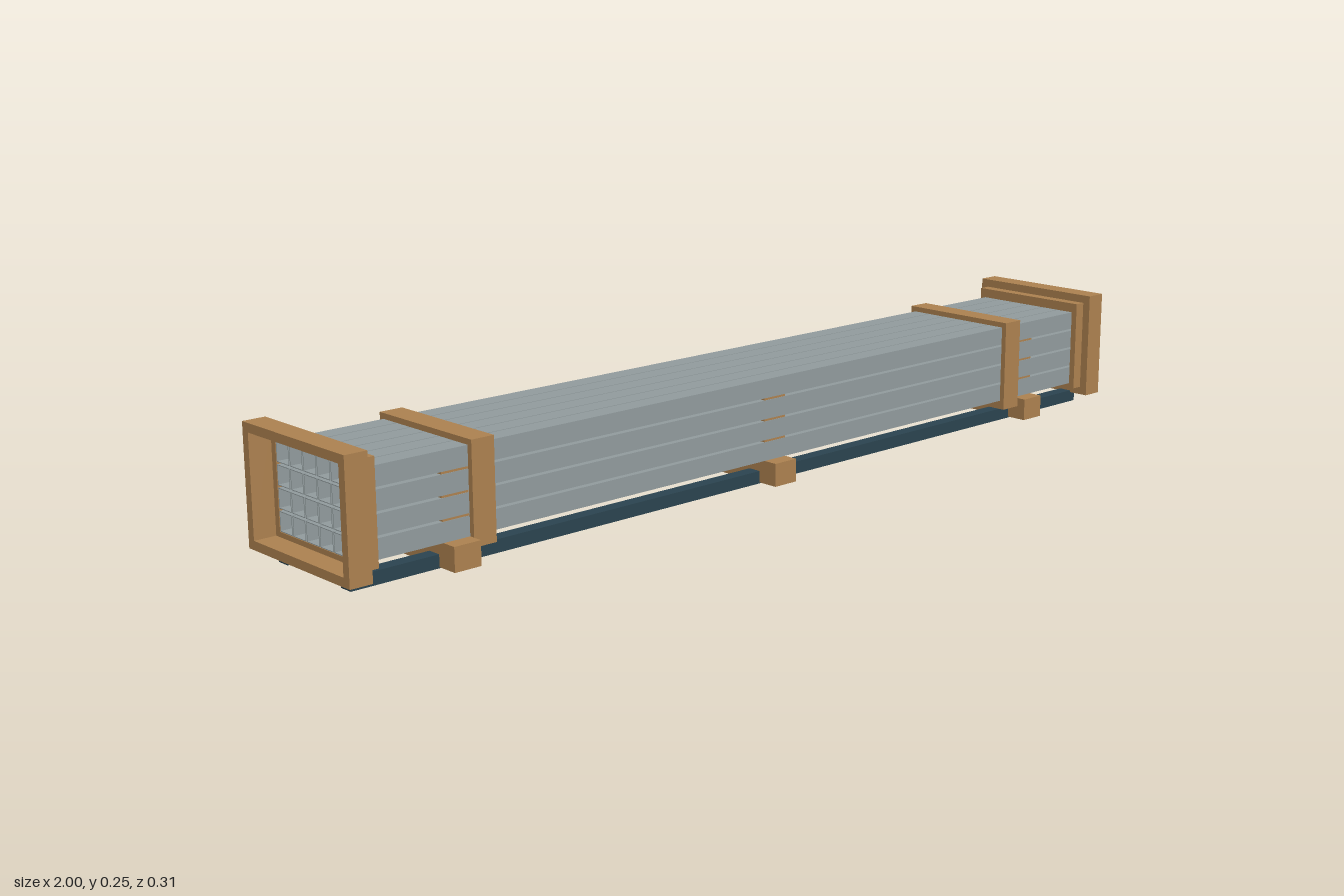
import * as THREE from 'three';

const steel = new THREE.MeshStandardMaterial({ color: 0x929c9e });
steel.name = 'galvanised steel';
const wood = new THREE.MeshStandardMaterial({ color: 0xad8250 });
wood.name = 'timber';
const dark = new THREE.MeshStandardMaterial({ color: 0x2b4450 });
dark.name = 'dark skid paint';

// Rectangular ring in the z/y plane, running from x0 to x1
function ring(name, material, outer, inner, x0, x1) {
  const corners = ([z, y0, y1]) => [[-z, y0], [z, y0], [z, y1], [-z, y1]].map(p => new THREE.Vector2(...p));
  const shape = new THREE.Shape(corners(outer));
  shape.holes.push(new THREE.Path(corners(inner).reverse()));
  const geometry = new THREE.ExtrudeGeometry(shape, { depth: x1 - x0, bevelEnabled: false });
  geometry.rotateY(Math.PI / 2).translate(x0, 0, 0);
  const mesh = new THREE.Mesh(geometry, material);
  mesh.name = name;
  return mesh;
}

function box(name, material, w, h, d, x, y, z) {
  const mesh = new THREE.Mesh(new THREE.BoxGeometry(w, h, d), material);
  mesh.position.set(x, y, z);
  mesh.name = name;
  return mesh;
}

export function createModel() {
  const group = new THREE.Group();
  group.name = 'tubeBundle';

  // Stack of hollow square tubes, six across and four high
  const cols = 6, rows = 4, width = 0.0388, height = 0.0372, wall = 0.0015, bottom = 0.048;
  const pitchZ = (0.248 - width) / (cols - 1), pitchY = (0.162 - height) / (rows - 1);
  const tube = ring('tube', steel, [width / 2, 0, height],
    [width / 2 - wall, wall, height - wall], -0.955, 0.955);
  const tubes = new THREE.Group();
  tubes.name = 'tubes';
  for (let r = 0; r < rows; r++) {
    for (let c = 0; c < cols; c++) {
      const t = tube.clone();
      t.position.set(0, bottom + r * pitchY, (c - (cols - 1) / 2) * pitchZ);
      tubes.add(t);
    }
  }
  group.add(tubes);

  // Timber bearers under the stack, with thin spacers between the rows
  for (const x of [-0.763, 0, 0.763]) {
    group.add(box('bearer', wood, 0.056, 0.046, 0.308, x, 0.025, 0));
    for (let r = 1; r < rows; r++) {
      const gap = pitchY - height;
      group.add(box('spacer', wood, 0.056, gap, 0.246, x, bottom + r * pitchY - gap / 2, 0));
    }
  }

  // Long skids
  for (const z of [-0.096, 0.096]) {
    group.add(box('skid', dark, 1.94, 0.025, 0.028, 0, 0.0125, z));
  }

  // Timber bands around the stack and stepped frames at both ends
  for (const s of [-1, 1]) {
    const span = (a, b) => (s > 0 ? [a, b] : [-b, -a]);
    group.add(ring('band', wood, [0.135, 0.03, 0.221], [0.1242, 0.0478, 0.2102], ...span(0.687, 0.735)));
    group.add(ring('innerEndFrame', wood, [0.137, 0.038, 0.23], [0.1242, 0.0478, 0.2102], ...span(0.931, 0.956)));
    group.add(ring('outerEndFrame', wood, [0.154, 0.021, 0.247], [0.137, 0.038, 0.23], ...span(0.955, 1)));
  }
  return group;
}
